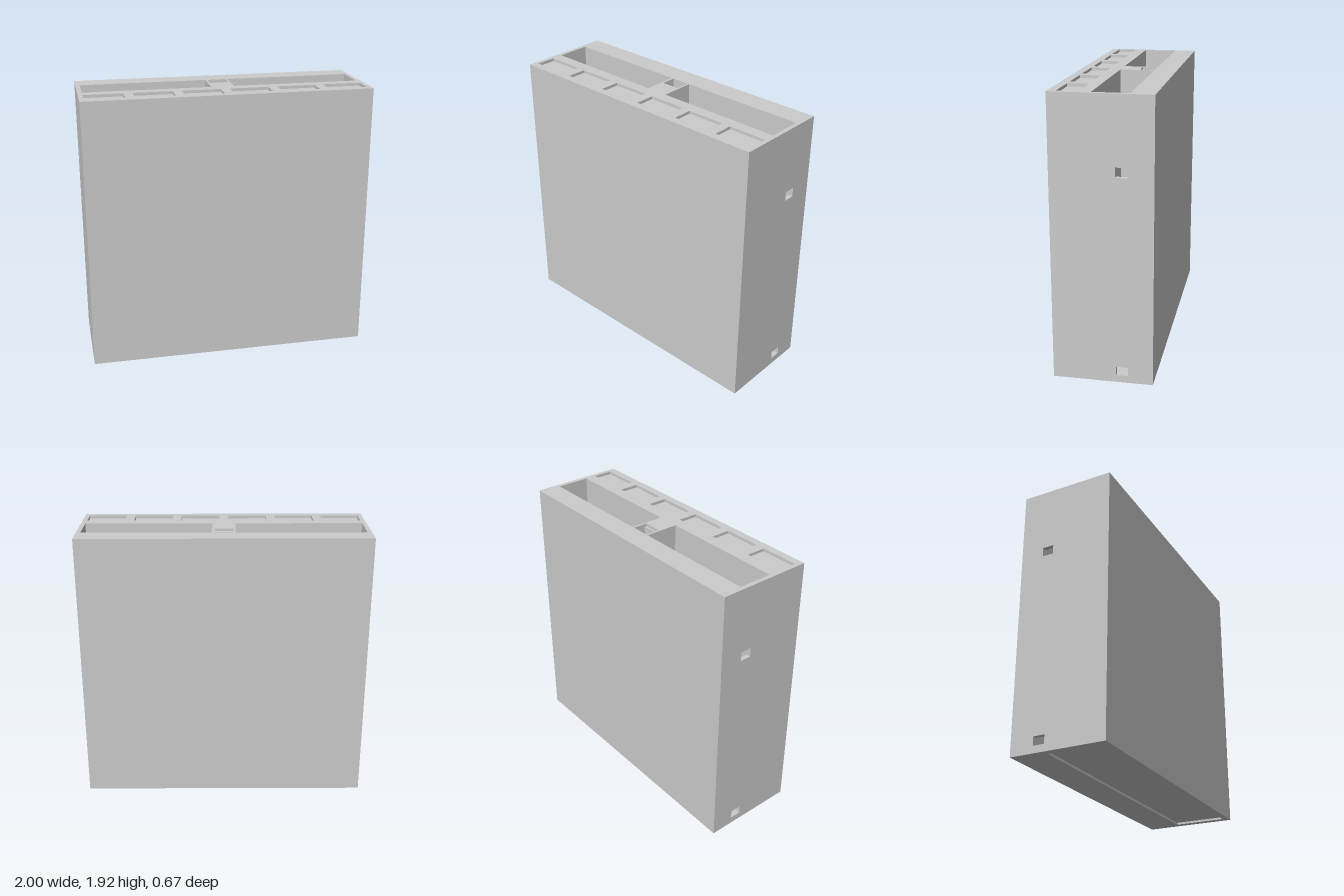
import * as THREE from 'three';

const H = 1.92, D = 0.335;      // height and half depth
const FLOOR = 0.04;             // floor of the deep compartments
const mat = new THREE.MeshStandardMaterial({ color: 0xcccccc, side: THREE.DoubleSide });

// rectangle [a0, a1, b0, b1] as a path
function trace(path, [a0, a1, b0, b1]) {
  path.moveTo(a0, b0);
  path.lineTo(a1, b0);
  path.lineTo(a1, b1);
  path.lineTo(a0, b1);
  path.closePath();
  return path;
}

// flat panel with rectangular holes, facing +z
function panel(rect, holes = []) {
  const shape = trace(new THREE.Shape(), rect);
  for (const h of holes) shape.holes.push(trace(new THREE.Path(), h));
  return new THREE.ShapeGeometry(shape);
}

// walls of a box-shaped cavity; skip lists the open sides (0..5 = +x -x +y -y +z -z)
function cavity([x0, x1, y0, y1, z0, z1], skip) {
  const g = new THREE.BoxGeometry(x1 - x0, y1 - y0, z1 - z0);
  const index = Array.from(g.index.array);
  g.setIndex(index.filter((_, i) => !skip.includes(Math.floor(i / 6))));
  g.clearGroups();
  return g.translate((x0 + x1) / 2, (y0 + y1) / 2, (z0 + z1) / 2);
}

export function createModel() {
  const model = new THREE.Group();
  const add = (name, geometry) => {
    const mesh = new THREE.Mesh(geometry, mat);
    mesh.name = name;
    model.add(mesh);
  };

  // openings, as [x0, x1, z0, z1]
  const slots = [[-0.97, -0.08, -0.18, 0.06], [0.08, 0.97, -0.18, 0.06]];
  const channel = [-0.065, 0.065, -0.18, -0.075];
  const trays = [];
  for (let i = 0; i < 6; i++) {
    const c = -0.8333 + i / 3;
    trays.push([c - 0.135, c + 0.135, 0.14, 0.28]);
  }
  const base = [-0.95, 0.95, -0.09, 0.29];
  const flipZ = ([x0, x1, z0, z1]) => [x0, x1, -z1, -z0];

  // front and back walls
  add('frontWall', panel([-1, 1, 0, H]).translate(0, 0, D));
  add('backWall', panel([-1, 1, 0, H]).rotateY(Math.PI).translate(0, 0, -D));

  // top with all openings, and underside with one shallow recess
  add('top', panel([-1, 1, -D, D], [...slots, channel, ...trays].map(flipZ))
    .rotateX(-Math.PI / 2).translate(0, H, 0));
  add('underside', panel([-1, 1, -D, D], [base]).rotateX(Math.PI / 2));
  add('baseRecess', cavity([base[0], base[1], 0, 0.015, base[2], base[3]], [3]));

  // row of shallow trays along the front edge
  for (const [x0, x1, z0, z1] of trays) add('tray', cavity([x0, x1, H - 0.02, H, z0, z1], [2]));

  // narrow central channel with a small ledge on its front side
  const [cx0, cx1, cz0, cz1] = channel;
  add('channelMouth', cavity([cx0, cx1, H - 0.02, H, cz0, cz1], [2, 3]));
  add('channelLedge', panel([cx0, cx1, 0.09, -cz1 + 0.015].sort((a, b) => a - b).length
    ? [cx0, cx1, -cz1, 0.09] : channel).rotateX(-Math.PI / 2).translate(0, H - 0.02, 0));
  add('channel', cavity([cx0, cx1, FLOOR, H - 0.02, cz0, -0.09], [2]));

  // side walls, deep compartments and the square windows between them
  const windows = [[0.05, 0.11], [1.4, 1.465]];
  const wz0 = -0.17, wz1 = -0.09;
  for (const s of [1, -1]) {
    const [x0, x1, z0, z1] = slots[s > 0 ? 1 : 0];
    const across = (a, b) => (s > 0 ? [-b, -a] : [a, b]);
    const holes = windows.map(([y0, y1]) => [...across(wz0, wz1), y0, y1]);
    const turn = s * Math.PI / 2;
    add('sideWall', panel([-D, D, 0, H], holes).rotateY(turn).translate(s, 0, 0));
    add('compartment', cavity([x0, x1, FLOOR, H, z0, z1], [2, s > 0 ? 0 : 1]));
    add('compartmentSide', panel([...across(z0, z1), FLOOR, H], holes)
      .rotateY(turn).translate(s * 0.97, 0, 0));
    for (const [y0, y1] of windows) {
      const [a, b] = s > 0 ? [0.97, 1] : [-1, -0.97];
      add('sideWindow', cavity([a, b, y0, y1, wz0, wz1], [0, 1]));
    }
  }
  return model;
}
